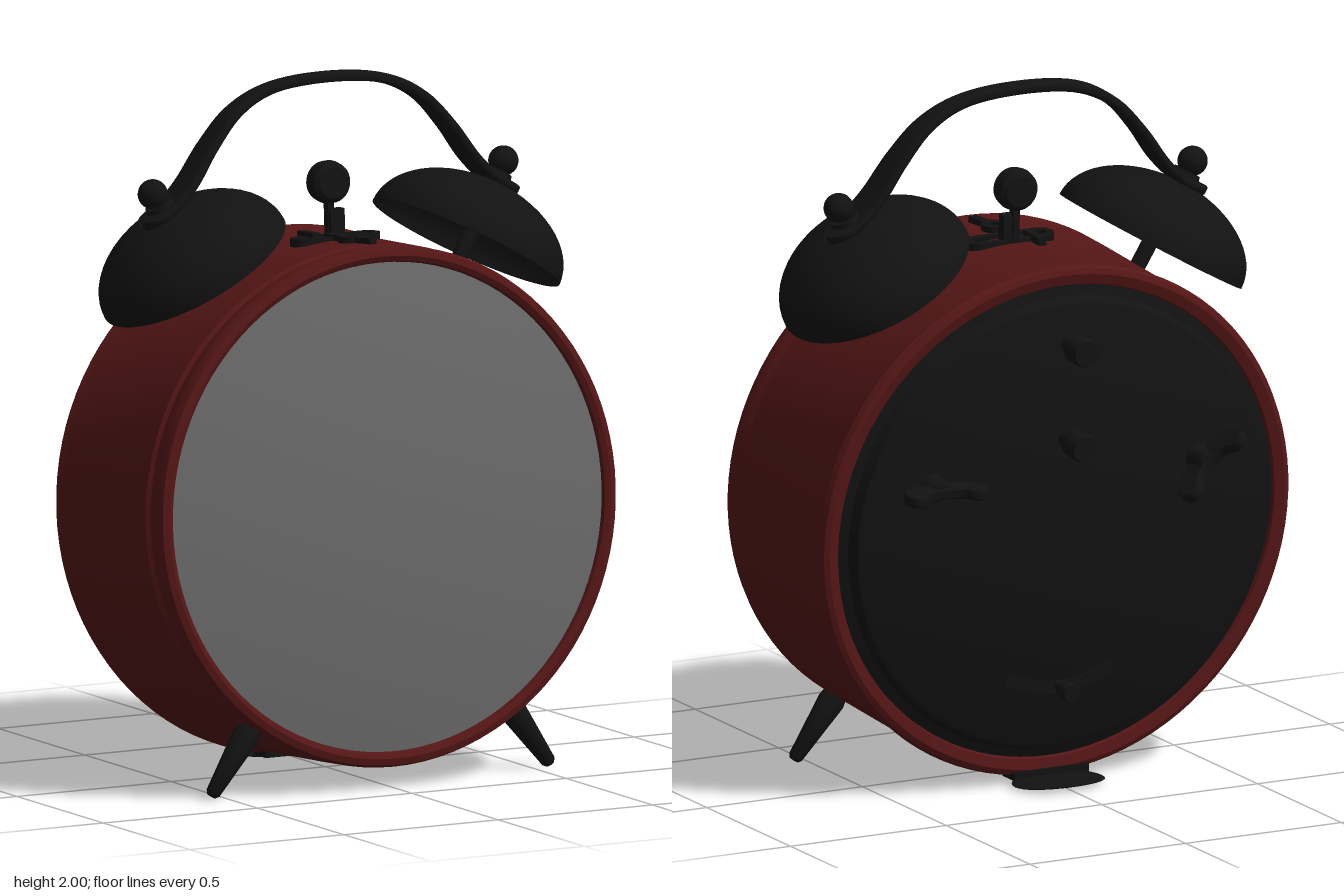
import * as THREE from 'three';
import { toCreasedNormals } from 'three/addons/utils/BufferGeometryUtils.js';

const mat = (color) => new THREE.MeshStandardMaterial({ color, side: THREE.DoubleSide });
const V = (x, y, z) => new THREE.Vector3(x, y, z);

export function createModel() {
  const red = mat(0x551616), black = mat(0x121212), glass = mat(0x6a6a6a);
  const root = new THREE.Group();
  // The clock leans back slightly; its own axis is local z
  const clock = new THREE.Group();
  clock.name = 'clock';
  clock.position.set(0, 0.785, 0.07);
  clock.rotation.x = -0.06;
  root.add(clock);

  const add = (parent, name, geo, material, x = 0, y = 0, z = 0) => {
    const m = new THREE.Mesh(geo, material);
    m.name = name;
    m.position.set(x, y, z);
    parent.add(m);
    return m;
  };
  const lathe = (pts, seg = 48) => toCreasedNormals(
    new THREE.LatheGeometry(pts.map(([r, h]) => new THREE.Vector2(r, h)), seg), 0.6);
  // Lathe turned so that its axis runs along z
  const latheZ = (pts, seg) => lathe(pts, seg).rotateX(Math.PI / 2);
  // Mesh built along y, re-aimed along a direction
  const aim = (mesh, dir) => {
    mesh.quaternion.setFromUnitVectors(V(0, 1, 0), dir.clone().normalize());
    return mesh;
  };

  // Drum casing with rolled rims
  add(clock, 'casing', latheZ([
    [0.69, -0.27], [0.70, -0.298], [0.73, -0.305], [0.745, -0.298], [0.752, -0.28], [0.742, -0.25],
    [0.742, 0.215], [0.732, 0.225], [0.732, 0.235], [0.739, 0.25], [0.741, 0.28], [0.734, 0.3],
    [0.715, 0.306], [0.70, 0.298], [0.69, 0.265],
  ], 96), red);

  // Domed face glass
  const dome = [];
  for (let i = 0; i <= 10; i++) {
    const r = 0.7 * (1 - i / 10);
    dome.push([r, 0.34 - 0.055 * (r / 0.7) ** 2]);
  }
  add(clock, 'faceGlass', latheZ(dome, 96), glass);

  // Back plate
  add(clock, 'backPlate', latheZ([
    [0, -0.337], [0.64, -0.337], [0.655, -0.33], [0.668, -0.298], [0.70, -0.285],
  ], 96), black);

  // Setting knobs on the back
  const knob = (name, y, r, length) => add(clock, name, latheZ([
    [0, -length], [r * 0.9, -length], [r, -length + 0.008], [r, -length * 0.45], [r * 0.9, -length * 0.4],
    [r * 0.55, -length * 0.4], [r * 0.55, 0.01],
  ], 24), black, 0, y, -0.337);
  knob('upperKnob', 0.54, 0.041, 0.115);
  knob('middleKnob', 0.26, 0.041, 0.12);
  knob('regulatorKnob', -0.475, 0.027, 0.085);

  // Curved regulator strip
  const arc = new THREE.Shape();
  arc.absarc(0, 0, 0.35, -2.1, -1.04, false);
  arc.absarc(0, 0, 0.315, -1.04, -2.1, true);
  add(clock, 'regulatorStrip', new THREE.ExtrudeGeometry(arc, { depth: 0.012, bevelEnabled: false, curveSegments: 20 }),
    black, 0, -0.145, -0.345);

  // Butterfly winding keys: profile across the wings, u along the span, v outward
  const wing = new THREE.Shape();
  wing.moveTo(-0.05, 0);
  wing.quadraticCurveTo(-0.125, 0.02, -0.123, 0.07);
  wing.bezierCurveTo(-0.12, 0.11, -0.075, 0.11, -0.065, 0.075);
  wing.quadraticCurveTo(-0.05, 0.052, 0, 0.052);
  wing.quadraticCurveTo(0.05, 0.052, 0.065, 0.075);
  wing.bezierCurveTo(0.075, 0.11, 0.12, 0.11, 0.123, 0.07);
  wing.quadraticCurveTo(0.125, 0.02, 0.05, 0);
  wing.closePath();
  const wingGeo = new THREE.ExtrudeGeometry(wing, {
    depth: 0.02, bevelSize: 0.005, bevelThickness: 0.006, bevelSegments: 2, curveSegments: 8,
  }).translate(0, 0, -0.01).rotateX(-Math.PI / 2).rotateX(0);
  wingGeo.rotateX(0);
  for (const [x, y, turn] of [[0.425, 0.165, 0], [-0.43, 0.15, -0.78]]) {
    const key = new THREE.Group();
    key.name = 'windingKey';
    key.position.set(x, y, -0.335);
    key.rotation.z = turn;
    clock.add(key);
    add(key, 'keyWings', wingGeo, black, 0, 0, -0.022);
    add(key, 'keyHub', latheZ([[0, -0.07], [0.026, -0.07], [0.034, -0.03], [0.042, 0.01]], 20), black);
  }

  // Bells with their posts and ball nuts, mirrored
  const bellPts = [];
  for (let i = 0; i <= 16; i++) {
    const a = (i / 16) * Math.PI / 2;
    bellPts.push([0.29 * Math.cos(a), 0.19 * Math.sin(a)]);
  }
  const bellInner = bellPts.map(([r, h]) => [r * 0.965, h * 0.94]).reverse();
  const bellGeo = lathe([...bellInner, ...bellPts], 64);
  for (const s of [-1, 1]) {
    const bell = new THREE.Group();
    bell.name = s > 0 ? 'leftBell' : 'rightBell';
    bell.position.set(s * 0.44, 0.69, 0);
    aim(bell, V(s * 0.498, 0.867, 0));
    clock.add(bell);
    add(bell, 'bellShell', bellGeo, black);
    add(bell, 'bellPost', new THREE.CylinderGeometry(0.023, 0.023, 0.32, 20), black, 0, 0.05, 0);
    add(bell, 'bellWasher', new THREE.CylinderGeometry(0.04, 0.045, 0.02, 24), black, 0, 0.215, 0);
    add(bell, 'bellNut', new THREE.SphereGeometry(0.043, 24, 16), black, 0, 0.257, 0);
  }

  // Carrying handle: rounded strap swept along a curve, wider at its ends
  const half = [[0.605, 0.822], [0.575, 0.84], [0.525, 0.868], [0.46, 0.932], [0.385, 1.035], [0.3, 1.125], [0.19, 1.18]];
  const path = new THREE.CatmullRomCurve3([
    ...half.map(([x, y]) => V(-x, y, 0)), V(0, 1.2, 0), ...[...half].reverse().map(([x, y]) => V(x, y, 0)),
  ]);
  const STEPS = 96, SIDES = 16, pos = [], idx = [];
  for (let i = 0; i <= STEPS; i++) {
    const p = path.getPoint(i / STEPS), t = path.getTangent(i / STEPS);
    const ax = Math.abs(p.x);
    let w = 0.03 + 0.03 * THREE.MathUtils.smoothstep(ax, 0.15, 0.52);
    if (ax > 0.55) w *= Math.sqrt(Math.max(0.002, 1 - ((ax - 0.55) / 0.0555) ** 2));
    for (let j = 0; j < SIDES; j++) {
      const a = (j / SIDES) * Math.PI * 2, c = Math.cos(a), n = Math.sin(a);
      const h = 0.015 * Math.sign(n) * Math.sqrt(Math.abs(n));
      const z = w * Math.sign(c) * Math.sqrt(Math.abs(c));
      pos.push(p.x - t.y * h, p.y + t.x * h, z);
      if (i < STEPS) {
        const k = i * SIDES + j, l = i * SIDES + (j + 1) % SIDES;
        idx.push(k, k + SIDES, l, l, k + SIDES, l + SIDES);
      }
    }
  }
  const strap = new THREE.BufferGeometry();
  strap.setAttribute('position', new THREE.Float32BufferAttribute(pos, 3));
  strap.setIndex(idx);
  strap.computeVertexNormals();
  add(clock, 'handle', strap, black);

  // Hammer between the bells
  add(clock, 'hammerHead', latheZ([
    [0, -0.036], [0.045, -0.034], [0.058, -0.024], [0.062, 0], [0.058, 0.024], [0.045, 0.034], [0, 0.036],
  ], 32), black, 0, 0.9, 0);
  add(clock, 'hammerStem', new THREE.BoxGeometry(0.02, 0.13, 0.025), black, 0, 0.8, 0);
  add(clock, 'hammerArm', new THREE.BoxGeometry(0.045, 0.09, 0.03), black, 0.014, 0.78, 0.01);

  // Slot frame for the hammer, lying on top of the casing
  const slot = (rx, rz, Path) => {
    const p = new Path();
    p.absarc(rx - rz, 0, rz, -Math.PI / 2, Math.PI / 2, false);
    p.absarc(rz - rx, 0, rz, Math.PI / 2, Math.PI * 1.5, false);
    p.closePath();
    return p;
  };
  const frame = slot(0.14, 0.04, THREE.Shape);
  frame.holes.push(slot(0.118, 0.019, THREE.Path));
  const flat = (shape, depth) => new THREE.ExtrudeGeometry(shape, { depth, bevelEnabled: false, curveSegments: 12 })
    .rotateX(-Math.PI / 2);
  add(clock, 'hammerSlot', flat(frame, 0.025), black, 0, 0.727, 0.03);
  add(clock, 'hammerTab', new THREE.BoxGeometry(0.025, 0.03, 0.09), black, -0.062, 0.747, -0.01);

  // Stop lever with an eye, pointing to the front
  const eye = new THREE.Shape();
  eye.absarc(0, 0, 0.037, 0, Math.PI * 2);
  const hole = new THREE.Path();
  hole.absarc(0, 0, 0.015, 0, Math.PI * 2);
  eye.holes.push(hole);
  const lever = new THREE.Group();
  lever.name = 'stopLever';
  lever.position.set(-0.005, 0.741, 0.128);
  clock.add(lever);
  add(lever, 'leverEye', flat(eye, 0.018), black);
  add(lever, 'leverArm', new THREE.BoxGeometry(0.024, 0.018, 0.075), black, -0.012, 0.009, -0.062).rotation.y = 0.25;
  add(lever, 'leverTail', new THREE.BoxGeometry(0.026, 0.018, 0.065), black, 0.014, 0.009, 0.062).rotation.y = 0.25;

  // Splayed front legs, mirrored
  const legGeo = lathe([[0, 0], [0.014, 0.002], [0.021, 0.012], [0.039, 0.2], [0.034, 0.225], [0, 0.235]], 24);
  for (const s of [-1, 1]) {
    aim(add(root, s > 0 ? 'leftLeg' : 'rightLeg', legGeo, black, s * 0.55, 0.012, 0.32), V(-s * 0.13, 0.18, -0.01));
  }

  // Rear foot: thin dished oval plate on a bracket
  const plate = new THREE.SphereGeometry(1, 40, 20).scale(0.14, 0.01, 0.1);
  const p = plate.attributes.position;
  for (let i = 0; i < p.count; i++) p.setY(i, p.getY(i) + 0.9 * p.getZ(i) ** 2);
  plate.computeVertexNormals();
  add(root, 'rearFoot', plate, black, 0, 0.012, -0.24);
  add(root, 'rearFootBracket', new THREE.BoxGeometry(0.24, 0.024, 0.07), black, 0, 0.029, -0.165);

  return root;
}
